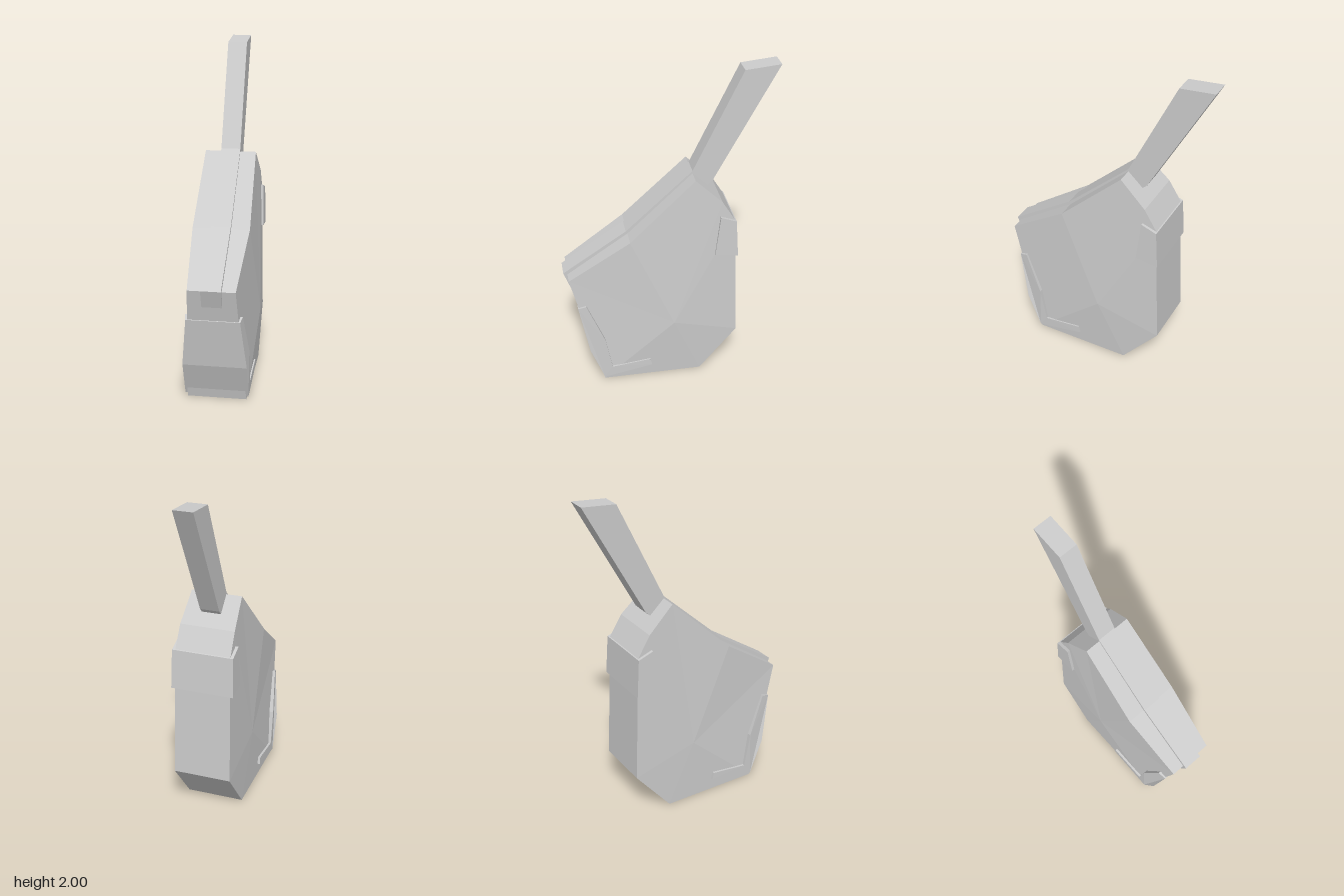
import * as THREE from 'three';

const CENTRE_X = -0.01;

// Faceted slab from a side profile of [z, y, halfWidth].
// With a hub, each side is a shallow pyramid of triangles around that point.
function slab(name, profile, hub) {
  const flat = profile.map(([z, y]) => new THREE.Vector2(z, y));
  const pts = profile.slice();
  if (THREE.ShapeUtils.isClockWise(flat)) {
    pts.reverse();
    flat.reverse();
  }
  const at = ([z, y, w], side) => [CENTRE_X + side * w, y, z];
  const position = [];
  const tri = (a, b, c) => position.push(...a, ...b, ...c);

  // rim
  pts.forEach((a, i) => {
    const b = pts[(i + 1) % pts.length];
    tri(at(a, -1), at(a, 1), at(b, 1));
    tri(at(a, -1), at(b, 1), at(b, -1));
    if (hub) {
      tri([hub.right, hub.y, hub.z], at(a, -1), at(b, -1));
      tri([hub.left, hub.y, hub.z], at(b, 1), at(a, 1));
    }
  });
  // side faces
  if (!hub) {
    for (const [i, j, k] of THREE.ShapeUtils.triangulateShape(flat, [])) {
      tri(at(pts[i], -1), at(pts[j], -1), at(pts[k], -1));
      tri(at(pts[k], 1), at(pts[j], 1), at(pts[i], 1));
    }
  }

  const geometry = new THREE.BufferGeometry();
  geometry.setAttribute('position', new THREE.Float32BufferAttribute(position, 3));
  geometry.computeVertexNormals();
  const material = new THREE.MeshStandardMaterial({ color: 0xcccccc, flatShading: true });
  const mesh = new THREE.Mesh(geometry, material);
  mesh.name = name;
  return mesh;
}

export function createModel() {
  const group = new THREE.Group();
  group.name = 'wedgeBodyWithHandle';

  // main body, bulging slightly at the middle of each side
  group.add(slab('body', [
    [0.43, 0, 0.175], [0.62, 0.74, 0.137], [0.25, 0.99, 0.168], [-0.14, 1.36, 0.153],
    [-0.30, 1.21, 0.165], [-0.38, 1.08, 0.167], [-0.41, 0.28, 0.175], [-0.18, 0, 0.175],
  ], { z: -0.01, y: 0.4, left: 0.195, right: -0.195 }));

  // handle running on as a raised spine over the top edge
  const spineHalf = 0.058;
  group.add(slab('handleAndSpine', [
    [0.645, 0.75], [0.26, 1.005], [-0.14, 1.375], [-0.43, 1.98], [-0.64, 2.0],
    [-0.26, 1.3], [-0.23, 1.27], [-0.14, 1.3], [0.25, 0.95], [0.56, 0.72], [0.605, 0.64],
  ].map(([z, y]) => [z, y, spineHalf])));

  // front guard wrapping the lower nose, with a foot along each side
  group.add(slab('frontGuard', [
    [0.575, 0.545, 0.156], [0.525, 0.56, 0.165], [0.42, 0.31, 0.19], [0.38, 0.095, 0.19],
    [0.14, 0.125, 0.193], [0.13, 0.08, 0.193], [0.43, 0.02, 0.188], [0.515, 0.24, 0.188],
  ]));

  // rear guard wrapping the upper back edge
  group.add(slab('rearGuard', [
    [-0.29, 1.115, 0.185], [-0.385, 1.08, 0.185], [-0.4, 0.84, 0.189], [-0.26, 0.86, 0.189],
  ]));

  return group;
}
